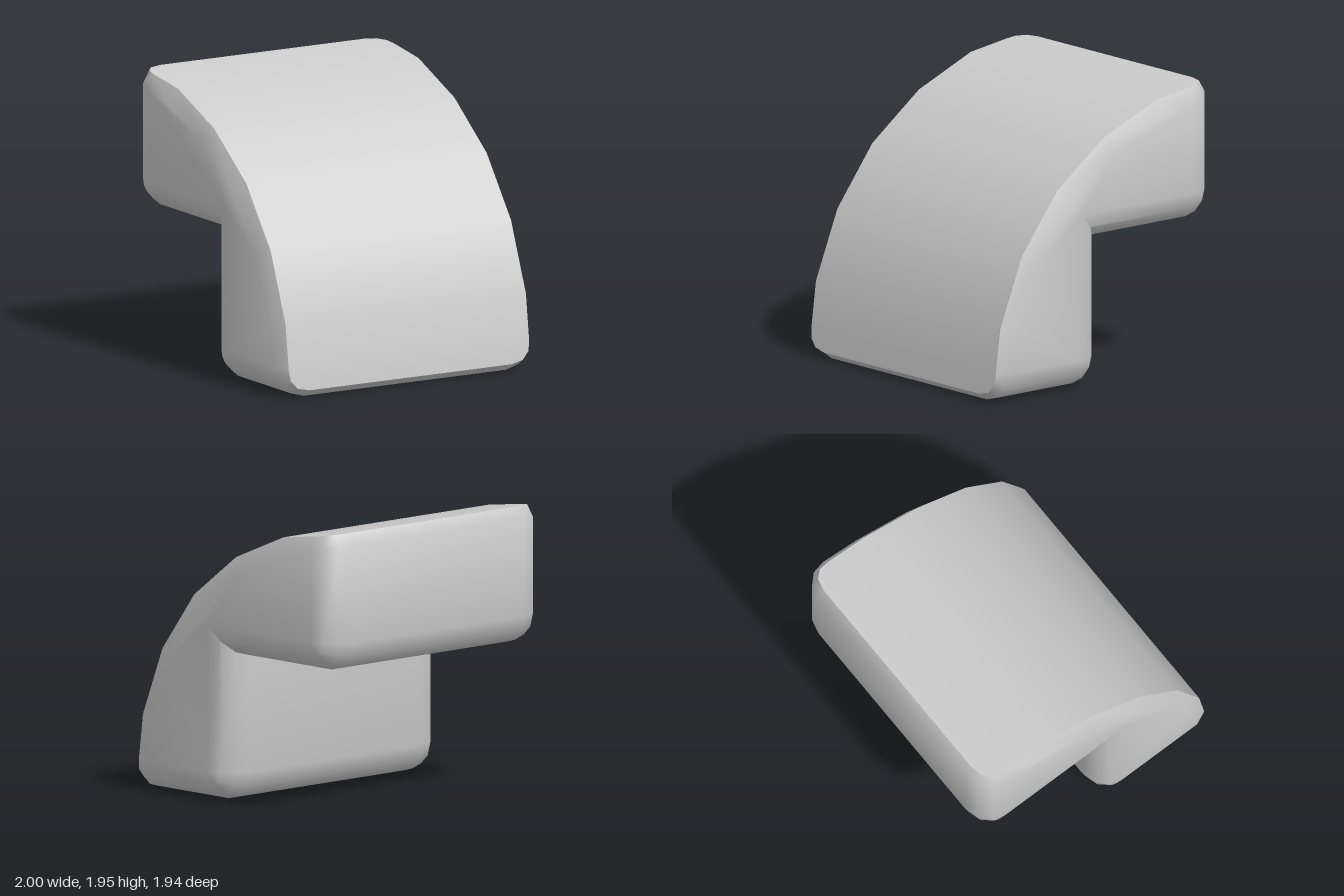
import * as THREE from 'three';
import { toCreasedNormals } from 'three/addons/utils/BufferGeometryUtils.js';

// Outer arc of the side profile as [z, y], front foot to top back
const ARC = [[0.97, 0.05], [0.91, 0.51], [0.72, 0.98], [0.41, 1.385], [0, 1.69], [-0.46, 1.88], [-0.92, 1.945]];
const R = 0.2;       // edge rounding
const RIM = 0.12;    // depth of the bevel beside the arc
// Slices towards the side: x of the walls, x of the arc, inset of the walls
const SLICES = [[0.8, 0.8, 0], [0.9, 0.89, 0.027], [0.973, 0.94, 0.1], [1, 0.95, R]];

const lerp = (a, b, t) => [a[0] + (b[0] - a[0]) * t, a[1] + (b[1] - a[1]) * t];

// Back, underside, inner wall and base, inset by d
function wallPoints(d) {
  const corner = (z, y) => [0, 1, 2, 3].map((i) => {
    const a = i * Math.PI / 6;
    return [z - (R - d) * Math.cos(a), y - (R - d) * Math.sin(a)];
  });
  return [
    [-0.97 + d, 1.87 - d * 0.25],
    ...corner(-0.77, 1.2),
    [0.03 + d, 1 + d],
    ...corner(0.23, 0.2),
    [0.9 - d * 0.25, d],
  ];
}

// Arc whose two ends draw back as the corners round off
function arcPoints(d) {
  const t = d * 0.75 / 0.46;
  const p = ARC.map((q) => [...q]);
  p[0] = lerp(ARC[0], ARC[1], t);
  p[6] = lerp(ARC[6], ARC[5], t);
  return p;
}

// Arc moved inwards to where the bevel meets the flat side
function rimPoints(walls) {
  return ARC.map((p, j) => {
    if (j === 0) return walls[walls.length - 1];
    if (j === 6) return walls[0];
    const dz = ARC[j + 1][0] - ARC[j - 1][0], dy = ARC[j + 1][1] - ARC[j - 1][1];
    const l = Math.hypot(dz, dy);
    return [p[0] - dy / l * RIM, p[1] + dz / l * RIM];
  });
}

function bodyGeometry() {
  // Closed loops from the middle to one side
  const half = SLICES.map(([wx, ax, d]) => [
    ...arcPoints(d).map(([z, y]) => new THREE.Vector3(ax, y, z)),
    ...wallPoints(d).map(([z, y]) => new THREE.Vector3(wx, y, z)),
  ]);
  const walls = wallPoints(R);
  half.push([...rimPoints(walls), ...walls].map(([z, y]) => new THREE.Vector3(1, y, z)));
  const mirror = (p) => new THREE.Vector3(-p.x, p.y, p.z);
  const loops = [...[...half].reverse().map((l) => l.map(mirror)), ...half];

  const pos = [];
  const tri = (a, b, c) => {
    const n = b.clone().sub(a).cross(c.clone().sub(a));
    if (n.length() > 1e-7) pos.push(...a.toArray(), ...b.toArray(), ...c.toArray());
  };

  // Skin between the loops
  for (let i = 0; i < loops.length - 1; i++) {
    const A = loops[i], B = loops[i + 1];
    for (let j = 0; j < A.length; j++) {
      const k = (j + 1) % A.length;
      tri(A[j], B[j], B[k]);
      tri(A[j], B[k], A[k]);
    }
  }

  // Flat sides
  const last = half[half.length - 1];
  const rim = last.filter((p, i) => last.findIndex((q) => q.distanceTo(p) < 1e-4) === i);
  const flat = rim.map((p) => new THREE.Vector2(-p.z, p.y));
  if (THREE.ShapeUtils.isClockWise(flat)) { flat.reverse(); rim.reverse(); }
  for (const [a, b, c] of THREE.ShapeUtils.triangulateShape(flat, [])) {
    const ccw = flat[b].clone().sub(flat[a]).cross(flat[c].clone().sub(flat[a])) > 0;
    const [p, q, r] = ccw ? [rim[a], rim[b], rim[c]] : [rim[a], rim[c], rim[b]];
    tri(p, q, r);
    tri(mirror(p), mirror(r), mirror(q));
  }

  const geo = new THREE.BufferGeometry();
  geo.setAttribute('position', new THREE.Float32BufferAttribute(pos, 3));
  return toCreasedNormals(geo, 0.8);
}

export function createModel() {
  const group = new THREE.Group();
  group.name = 'curvedCornerBlock';
  const body = new THREE.Mesh(bodyGeometry(), new THREE.MeshStandardMaterial({ color: 0xcccccc }));
  body.name = 'archedBody';
  group.add(body);
  return group;
}
